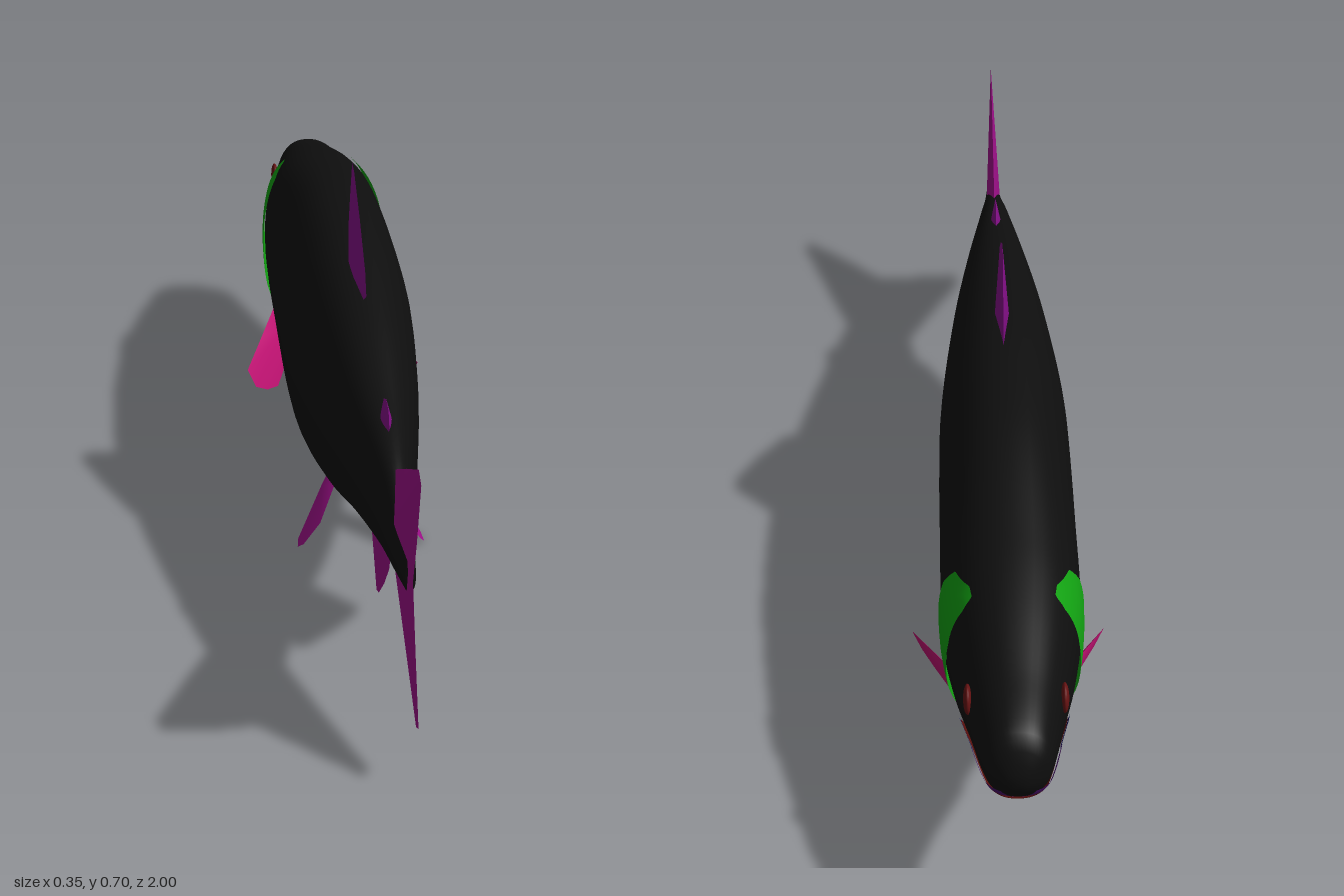
import * as THREE from 'three';

const mat = (name, color, side = THREE.DoubleSide) => {
  const m = new THREE.MeshStandardMaterial({ color, side });
  m.name = name;
  return m;
};

// Body stations: z, top, bottom, half width
const STATIONS = [
  [-1, 0.35, 0.315, 0.018], [-0.985, 0.39, 0.29, 0.043], [-0.96, 0.415, 0.272, 0.057],
  [-0.85, 0.445, 0.235, 0.08], [-0.72, 0.48, 0.18, 0.105], [-0.6, 0.505, 0.14, 0.119],
  [-0.34, 0.545, 0.08, 0.121], [-0.14, 0.55, 0.065, 0.121], [0, 0.543, 0.076, 0.117],
  [0.25, 0.505, 0.14, 0.094], [0.46, 0.462, 0.207, 0.066], [0.66, 0.42, 0.252, 0.034],
  [0.78, 0.375, 0.272, 0.019], [0.875, 0.352, 0.292, 0.01],
];
const POWER = 0.87; // slightly fuller than an ellipse

function station(z) {
  const S = STATIONS, n = S.length;
  let i = 0;
  while (i < n - 2 && z > S[i + 1][0]) i++;
  const d = S[i + 1][0] - S[i][0], t = (z - S[i][0]) / d;
  const slope = (k, c) => {
    const a = S[Math.max(k - 1, 0)], b = S[Math.min(k + 1, n - 1)];
    return (b[c] - a[c]) / (b[0] - a[0]);
  };
  const [top, bottom, w] = [1, 2, 3].map((c) =>
    S[i][c] * (2 * t ** 3 - 3 * t * t + 1) + S[i + 1][c] * (3 * t * t - 2 * t ** 3) +
    d * slope(i, c) * (t ** 3 - 2 * t * t + t) + d * slope(i + 1, c) * (t ** 3 - t * t));
  return { cy: (top + bottom) / 2, h: (top - bottom) / 2, w };
}

const soft = (v, p) => Math.sign(v) * Math.abs(v) ** p;

function skin(z, a, offset = 0) {
  const { cy, h, w } = station(z);
  return [(w + offset) * soft(Math.cos(a), POWER), cy + (h + offset) * soft(Math.sin(a), POWER), z];
}

function angleAt(z, y) {
  const { cy, h } = station(z);
  return Math.asin(soft(THREE.MathUtils.clamp((y - cy) / h, -1, 1), 1 / POWER));
}

function build(positions, index) {
  const g = new THREE.BufferGeometry();
  g.setAttribute('position', new THREE.Float32BufferAttribute(positions, 3));
  g.setIndex(index);
  g.computeVertexNormals();
  return g;
}

function bodyGeometry() {
  const rows = 90, sides = 48, pos = [], idx = [];
  for (let j = 0; j <= rows; j++) {
    const z = -1 + 1.875 * (j / rows) ** 1.3;
    for (let i = 0; i < sides; i++) pos.push(...skin(z, (i / sides) * Math.PI * 2));
  }
  for (let j = 0; j < rows; j++) for (let i = 0; i < sides; i++) {
    const a = j * sides + i, b = j * sides + ((i + 1) % sides);
    idx.push(a, b, a + sides, b, b + sides, a + sides);
  }
  // end caps
  const nose = pos.length / 3, last = rows * sides;
  pos.push(0, 0.332, -1.003, 0, 0.322, 0.88);
  for (let i = 0; i < sides; i++) {
    const k = (i + 1) % sides;
    idx.push(nose, k, i, nose + 1, last + i, last + k);
  }
  return build(pos, idx);
}

// Thin coloured patch hugging the skin; columns are [z, low y, high y]
function patchGeometry(columns, side, offset = 0.004) {
  const nz = 36, na = 14, pos = [], idx = [];
  const z0 = columns[0][0], z1 = columns[columns.length - 1][0];
  for (let j = 0; j <= nz; j++) {
    const z = z0 + ((z1 - z0) * j) / nz;
    let k = 0;
    while (k < columns.length - 2 && z > columns[k + 1][0]) k++;
    const A = columns[k], B = columns[k + 1], t = (z - A[0]) / (B[0] - A[0]);
    const lo = angleAt(z, A[1] + (B[1] - A[1]) * t), hi = angleAt(z, A[2] + (B[2] - A[2]) * t);
    for (let i = 0; i <= na; i++) {
      const p = skin(z, lo + ((hi - lo) * i) / na, offset);
      pos.push(p[0] * side, p[1], p[2]);
    }
  }
  for (let j = 0; j < nz; j++) for (let i = 0; i < na; i++) {
    const a = j * (na + 1) + i, b = a + na + 1;
    if (side > 0) idx.push(a, a + 1, b, a + 1, b + 1, b);
    else idx.push(a, b, a + 1, a + 1, b, b + 1);
  }
  return build(pos, idx);
}

// Fin: sharp outline [z, y], thickest at one root point; plane(z, y) gives x
function finGeometry(root, outline, thick, plane = () => 0) {
  const pos = [], idx = [], n = outline.length;
  const area = outline.reduce((s, p, i) => {
    const q = outline[(i + 1) % n];
    return s + p[0] * q[1] - q[0] * p[1];
  }, 0);
  for (const s of [1, -1]) {
    const base = pos.length / 3;
    pos.push(plane(...root) + s * thick, root[1], root[0]);
    for (const [z, y] of outline) pos.push(plane(z, y), y, z);
    for (let i = 0; i < n; i++) {
      const a = base + 1 + i, b = base + 1 + ((i + 1) % n);
      if (s * area < 0) idx.push(base, a, b);
      else idx.push(base, b, a);
    }
  }
  return build(pos, idx);
}

export function createModel() {
  const fish = new THREE.Group();
  fish.name = 'fish';
  const black = mat('body black', 0x0e0e0e, THREE.FrontSide);
  const green = mat('gill green', 0x12a012);
  const red = mat('jaw dark red', 0x5a100d);
  const eyeRed = mat('eye red', 0x641212);
  const violet = mat('dorsal violet', 0x86108a);
  const magenta = mat('fin magenta', 0x9e1089);
  const pink = mat('pectoral pink', 0xc01272);
  const purple = mat('lip purple', 0x4a0f6a);
  const blue = mat('mouth corner blue', 0x14125e);
  const add = (name, geometry, material) => {
    const m = new THREE.Mesh(geometry, material);
    m.name = name;
    fish.add(m);
    return m;
  };

  add('body', bodyGeometry(), black);

  // Fins on the centre line
  add('dorsalFin', finGeometry([0.06, 0.52],
    [[-0.075, 0.535], [-0.04, 0.62], [0, 0.705], [0.035, 0.7], [0.13, 0.645], [0.22, 0.58], [0.24, 0.54], [0.17, 0.5]], 0.014), violet);
  add('adiposeFin', finGeometry([0.54, 0.435],
    [[0.5, 0.435], [0.51, 0.465], [0.545, 0.48], [0.58, 0.473], [0.592, 0.447], [0.57, 0.42]], 0.012), violet);
  add('analFin', finGeometry([0.46, 0.22],
    [[0.35, 0.185], [0.415, 0.045], [0.45, 0.058], [0.53, 0.12], [0.6, 0.185], [0.617, 0.215], [0.5, 0.24]], 0.016), magenta);
  add('tailFin', finGeometry([0.74, 0.333],
    [[0.67, 0.41], [0.82, 0.485], [0.97, 0.557], [1, 0.545], [0.955, 0.42], [0.915, 0.333],
      [0.955, 0.225], [1, 0.115], [0.97, 0.1], [0.82, 0.18], [0.67, 0.255]], 0.016), magenta);

  // Paired parts
  for (const [s, label] of [[1, 'left'], [-1, 'right']]) {
    add(label + 'PelvicFin', finGeometry([0.1, 0.1],
      [[0.055, 0.115], [0.095, 0.06], [0.135, 0.008], [0.16, 0.003], [0.178, 0.018], [0.186, 0.065], [0.13, 0.115]],
      0.012, (z, y) => s * (0.05 + (0.11 - y) * 0.65)), magenta);
    add(label + 'PectoralFin', finGeometry([-0.53, 0.15],
      [[-0.575, 0.2], [-0.47, 0.163], [-0.375, 0.13], [-0.378, 0.09], [-0.41, 0.068], [-0.45, 0.057], [-0.49, 0.073], [-0.56, 0.125]],
      0.014, (z, y) => s * (0.172 + 0.52 * (z + 0.375) + 0.384 * (y - 0.125))), pink);
    add(label + 'GillCover', patchGeometry(
      [[-0.705, 0.38, 0.44], [-0.695, 0.3, 0.462], [-0.67, 0.215, 0.465], [-0.645, 0.168, 0.458],
        [-0.61, 0.165, 0.45], [-0.58, 0.185, 0.405], [-0.565, 0.2, 0.34], [-0.555, 0.24, 0.29]], s, 0.005), green);
    add(label + 'LowerJaw', patchGeometry(
      [[-0.985, 0.2, 0.298], [-0.9, 0.2, 0.287], [-0.8, 0.15, 0.272], [-0.75, 0.1, 0.252], [-0.715, 0.1, 0.195]], s), red);
    add(label + 'Lip', patchGeometry(
      [[-0.992, 0.3, 0.312], [-0.93, 0.297, 0.31], [-0.87, 0.293, 0.3]], s), purple);
    add(label + 'MouthCorner', patchGeometry(
      [[-0.87, 0.287, 0.294], [-0.8, 0.273, 0.284], [-0.76, 0.257, 0.266]], s), blue);
    const eye = add(label + 'Eye', new THREE.SphereGeometry(0.024, 20, 14), eyeRed);
    eye.scale.set(0.3, 1.1, 1);
    eye.position.set(s * (skin(-0.845, angleAt(-0.845, 0.375))[0] + 0.001), 0.375, -0.845);
  }
  return fish;
}
